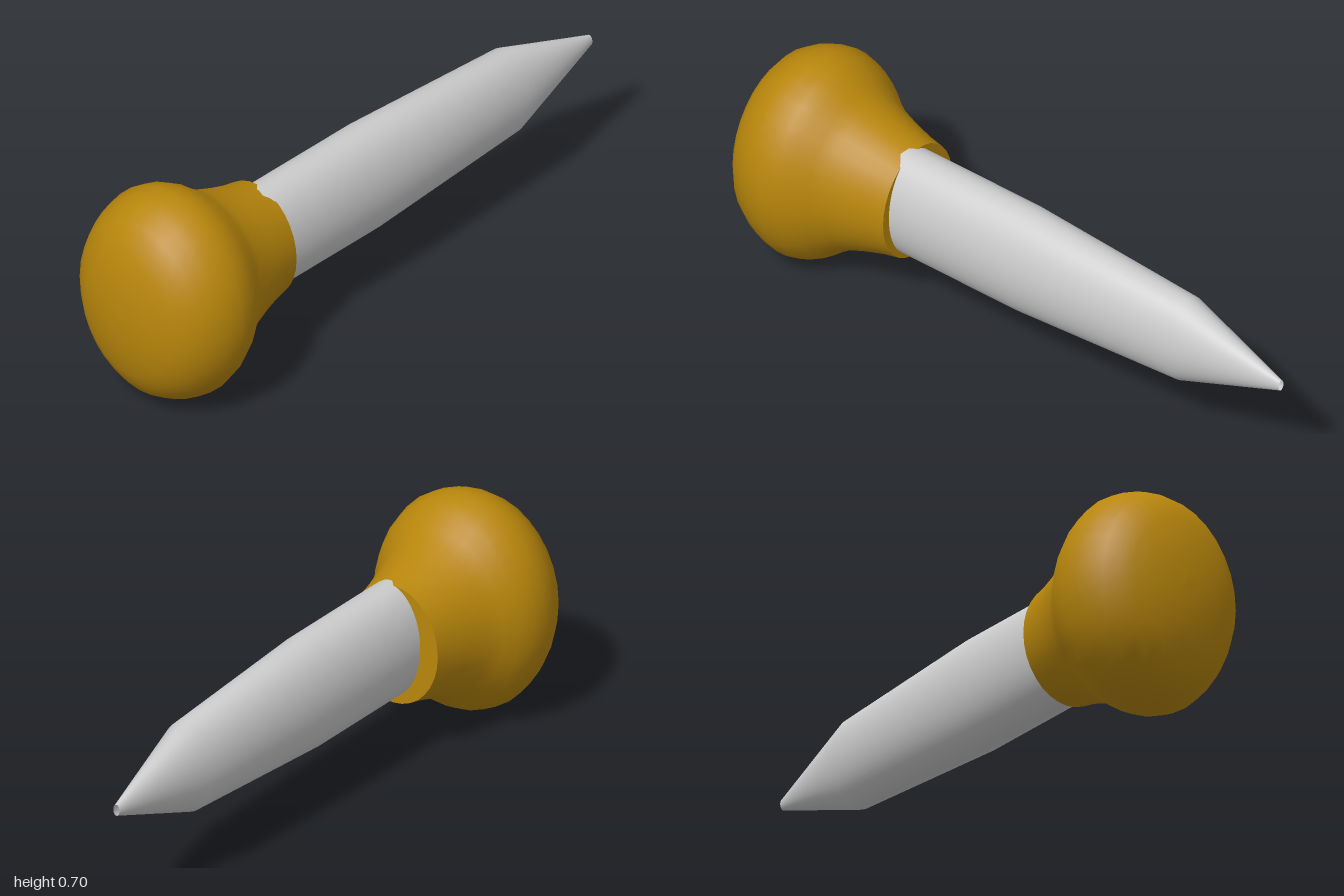
import * as THREE from 'three';

// Elliptical body of revolution lying along x; profile is [x, vertical radius].
function ellipticBody(profile, depthRatio, segments) {
  const points = profile.map(([x, r]) => new THREE.Vector2(r, x));
  const geometry = new THREE.LatheGeometry(points, segments);
  geometry.rotateZ(-Math.PI / 2);
  geometry.scale(1, 1, depthRatio);
  return geometry;
}

function addMesh(group, name, geometry, material, x, y, z) {
  const mesh = new THREE.Mesh(geometry, material);
  mesh.name = name;
  mesh.position.set(x, y, z);
  group.add(mesh);
  return mesh;
}

export function createModel() {
  const model = new THREE.Group();
  model.name = 'awl';
  const amber = new THREE.MeshStandardMaterial({ color: 0xb8860b });
  const steel = new THREE.MeshStandardMaterial({ color: 0xcccccc, side: THREE.DoubleSide });

  // Bulbous handle with a shallow domed butt and a flared neck
  const handle = new THREE.Group();
  handle.name = 'handle';
  model.add(handle);
  const handleProfile = [
    [-1, 0], [-0.998, 0.06], [-0.99, 0.13], [-0.97, 0.207], [-0.945, 0.255],
    [-0.915, 0.295], [-0.87, 0.325], [-0.83, 0.342], [-0.78, 0.351], [-0.73, 0.339],
    [-0.685, 0.314], [-0.645, 0.28], [-0.6, 0.25], [-0.53, 0.224], [-0.46, 0.203], [-0.41, 0.193],
  ];
  addMesh(handle, 'handleBody', ellipticBody(handleProfile, 0.833, 32), amber, 0, 0.353, 0);

  // Flat face closing the neck
  const face = new THREE.CircleGeometry(0.193, 32);
  face.rotateY(Math.PI / 2);
  face.scale(1, 1, 0.833);
  addMesh(handle, 'neckFace', face, amber, -0.41, 0.353, 0);

  // Flattened blade, slightly off centre, tapering to a small open tip
  const bladeProfile = [[-0.445, 0.184], [0.03, 0.184], [0.64, 0.147], [1, 0.018]];
  addMesh(model, 'blade', ellipticBody(bladeProfile, 0.627, 48), steel, 0, 0.364, 0.018);

  return model;
}
